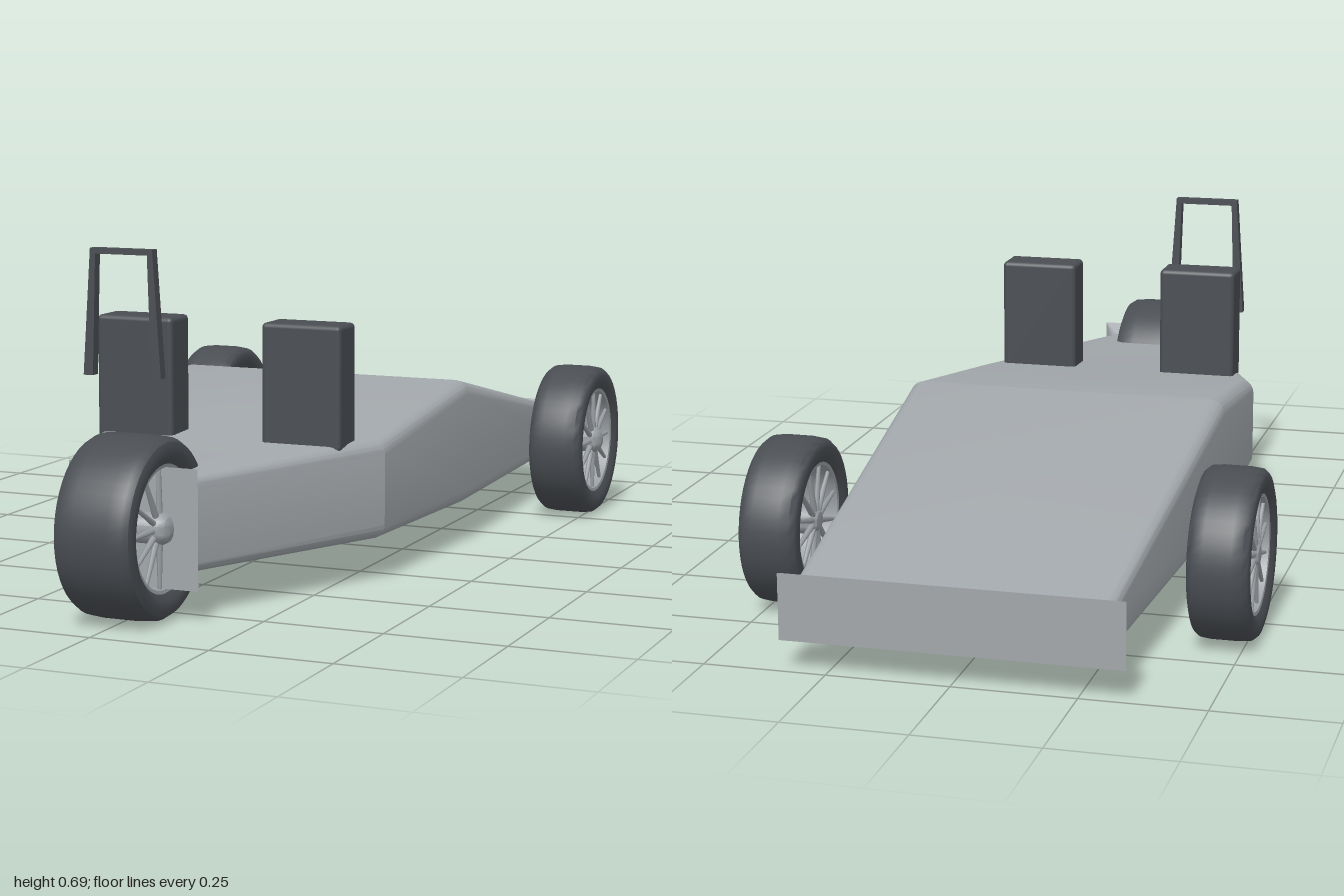
import * as THREE from 'three';
import { toCreasedNormals } from 'three/addons/utils/BufferGeometryUtils.js';
import { RoundedBoxGeometry } from 'three/addons/geometries/RoundedBoxGeometry.js';

const bodyGrey = new THREE.MeshStandardMaterial({ name: 'bodyGrey', color: 0xa2a7ab });
const rimGrey = new THREE.MeshStandardMaterial({ name: 'rimGrey', color: 0x9a9fa3 });
const darkGrey = new THREE.MeshStandardMaterial({ name: 'darkGrey', color: 0x4a4e53 });

function add(parent, name, geometry, material, x = 0, y = 0, z = 0) {
  const mesh = new THREE.Mesh(geometry, material);
  mesh.name = name;
  mesh.position.set(x, y, z);
  parent.add(mesh);
  return mesh;
}

// Rounded rectangle ring, counter-clockwise seen from the front
function ring(z, halfWidth, bottom, top, radius) {
  const points = [], steps = 5;
  const corners = [[1, 1], [-1, 1], [-1, -1], [1, -1]];
  corners.forEach(([sx, sy], c) => {
    const cx = sx * (halfWidth - radius);
    const cy = sy > 0 ? top - radius : bottom + radius;
    for (let k = 0; k <= steps; k++) {
      const a = (c + k / steps) * Math.PI / 2;
      points.push([cx + radius * Math.cos(a), cy + radius * Math.sin(a), z]);
    }
  });
  return points;
}

// Skin over rings ordered from back to front, with flat ends
function loft(rings) {
  const n = rings[0].length, index = [];
  const at = (i, j) => i * n + (j % n);
  for (let i = 0; i < rings.length - 1; i++) {
    for (let j = 0; j < n; j++) {
      index.push(at(i, j), at(i, j + 1), at(i + 1, j + 1));
      index.push(at(i, j), at(i + 1, j + 1), at(i + 1, j));
    }
  }
  const last = rings.length - 1;
  for (let j = 1; j < n - 1; j++) {
    index.push(at(0, 0), at(0, j + 1), at(0, j));
    index.push(at(last, 0), at(last, j), at(last, j + 1));
  }
  const geometry = new THREE.BufferGeometry();
  geometry.setAttribute('position', new THREE.Float32BufferAttribute(rings.flat(2), 3));
  geometry.setIndex(index);
  return toCreasedNormals(geometry, 0.38);
}

// Surface of revolution around the x axis
function turned(profile, segments) {
  const points = profile.map(([r, x]) => new THREE.Vector2(r, x));
  const geometry = new THREE.LatheGeometry(points, segments).rotateZ(-Math.PI / 2);
  return toCreasedNormals(geometry, 0.6);
}

function makeWheel(name, radius, width) {
  const wheel = new THREE.Group();
  wheel.name = name;
  const w = width / 2, inner = radius * 0.7;

  // Tyre
  add(wheel, 'tyre', turned([
    [inner, -w * 0.86], [radius * 0.78, -w * 0.98], [radius * 0.88, -w],
    [radius * 0.94, -w * 0.95], [radius * 0.985, -w * 0.8], [radius, -w * 0.45],
    [radius, w * 0.45], [radius * 0.985, w * 0.8], [radius * 0.94, w * 0.95],
    [radius * 0.88, w], [radius * 0.78, w * 0.98], [inner, w * 0.86], [inner, -w * 0.86],
  ], 48), darkGrey);

  // Rim lining
  const rim = radius * 0.66;
  add(wheel, 'rim', turned([
    [rim, -w * 0.84], [inner, -w * 0.86], [inner, w * 0.86], [rim, w * 0.84], [rim, -w * 0.84],
  ], 48), rimGrey);

  // Hub with domed ends
  const hub = radius * 0.17;
  add(wheel, 'hub', turned([
    [0, -w * 0.92], [hub * 0.6, -w * 0.88], [hub, -w * 0.7],
    [hub, w * 0.85], [hub * 0.8, w * 0.98], [hub * 0.45, w + 0.004], [0, w + 0.006],
  ], 20), rimGrey);

  // Spokes on both faces
  const length = rim - hub * 0.7;
  for (const side of [-1, 1]) {
    for (let i = 0; i < 12; i++) {
      const spoke = new THREE.CylinderGeometry(0.004, 0.007, length, 6);
      spoke.translate(0, hub * 0.7 + length / 2, 0);
      spoke.rotateX((i + (side > 0 ? 0 : 0.5)) * Math.PI / 6);
      add(wheel, 'spoke', spoke, rimGrey, side * w * 0.72);
    }
  }
  return wheel;
}

export function createModel() {
  const model = new THREE.Group();
  model.name = 'threeWheeler';

  // Wedge body with flared end plates
  add(model, 'body', loft([
    ring(-1.0, 0.343, 0.064, 0.2, 0.002),
    ring(-0.995, 0.335, 0.07, 0.195, 0.004),
    ring(-0.97, 0.317, 0.092, 0.186, 0.02),
    ring(-0.13, 0.354, 0.088, 0.366, 0.03),
    ring(0.32, 0.333, 0.09, 0.301, 0.03),
    ring(0.785, 0.118, 0.092, 0.283, 0.02),
    ring(0.805, 0.133, 0.072, 0.297, 0.004),
    ring(0.814, 0.14, 0.063, 0.304, 0.002),
  ]), bodyGrey);

  // Wheels
  const front = makeWheel('frontWheel', 0.182, 0.166);
  front.position.set(0, 0.183, 0.82);
  model.add(front);
  for (const [name, side] of [['leftRearWheel', 1], ['rightRearWheel', -1]]) {
    const rear = makeWheel(name, 0.174, 0.125);
    rear.position.set(side * 0.462, 0.175, -0.585);
    model.add(rear);
  }

  // Seat backs
  for (const [name, side] of [['leftSeat', 1], ['rightSeat', -1]]) {
    add(model, name, new RoundedBoxGeometry(0.176, 0.26, 0.086, 2, 0.01), darkGrey, side * 0.19, 0.415, 0.389);
  }

  // Open steering frame with splayed legs
  const outline = [[-0.09, 0.425], [-0.068, 0.425], [-0.06, 0.68], [0.06, 0.68],
    [0.068, 0.425], [0.09, 0.425], [0.072, 0.692], [-0.072, 0.692]];
  const shape = new THREE.Shape(outline.map(([x, y]) => new THREE.Vector2(x, y)));
  const frame = new THREE.ExtrudeGeometry(shape, { depth: 0.022, bevelEnabled: false });
  add(model, 'steeringFrame', frame, darkGrey, -0.185, 0, 0.476);

  return model;
}
